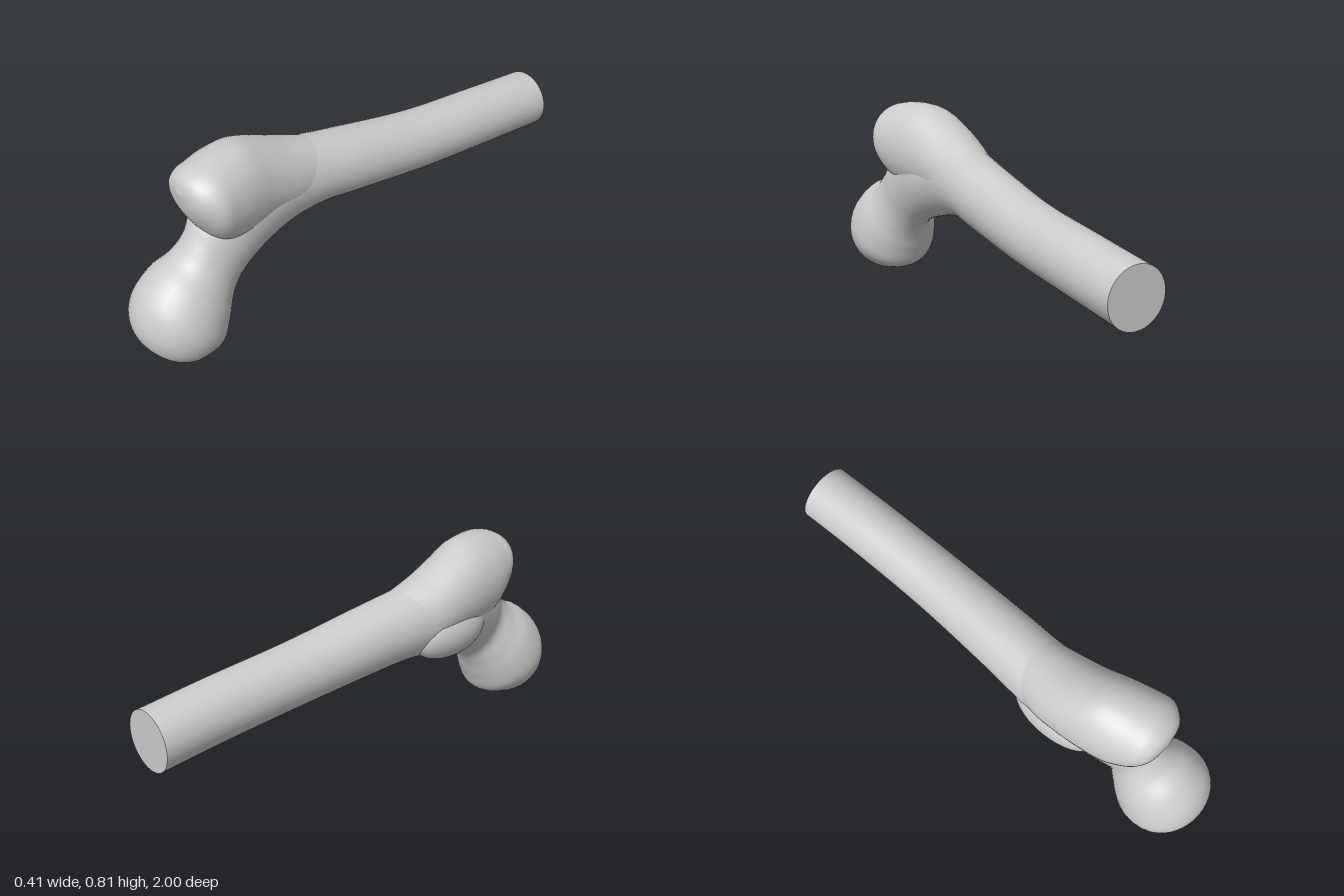
import * as THREE from 'three';

const material = new THREE.MeshStandardMaterial({ color: 0xcccccc, roughness: 0.8 });
const SIDES = 40;

// Smooth loft through elliptical sections: [topZ, topY, bottomZ, bottomY, minX, maxX]
function loft(sections, steps) {
  const spline = (pick) => new THREE.CatmullRomCurve3(
    sections.map((s) => new THREE.Vector3(...pick(s))), false, 'catmullrom', 0.5);
  const tops = spline((s) => [0, s[1], s[0]]);
  const bottoms = spline((s) => [0, s[3], s[2]]);
  const widths = spline((s) => [s[4], s[5], 0]);
  const positions = [], index = [];
  for (let i = 0; i <= steps; i++) {
    const t = i / steps;
    const top = tops.getPoint(t), bottom = bottoms.getPoint(t), w = widths.getPoint(t);
    const centre = top.clone().add(bottom).multiplyScalar(0.5);
    const up = top.clone().sub(bottom).multiplyScalar(0.5);
    for (let j = 0; j < SIDES; j++) {
      const a = (j / SIDES) * Math.PI * 2;
      const p = centre.clone().addScaledVector(up, Math.sin(a));
      positions.push((w.x + w.y) / 2 + Math.cos(a) * (w.y - w.x) / 2, p.y, p.z);
      if (i === steps) continue;
      const k = (j + 1) % SIDES, r = i * SIDES, n = r + SIDES;
      index.push(r + j, r + k, n + j, r + k, n + k, n + j);
    }
  }
  const geometry = new THREE.BufferGeometry();
  geometry.setAttribute('position', new THREE.Float32BufferAttribute(positions, 3));
  geometry.setIndex(index);
  geometry.computeVertexNormals();
  return geometry;
}

export function createModel() {
  const model = new THREE.Group();
  model.name = 'thighBone';
  const add = (name, geometry) => {
    const mesh = new THREE.Mesh(geometry, material);
    mesh.name = name;
    model.add(mesh);
    return mesh;
  };

  // Shaft bending forward and down through the neck into the ball head
  add('shaftNeckAndHead', loft([
    [-1.0, 0.56, -1.0, 0.32, -0.11, 0.13],
    [-0.7, 0.583, -0.7, 0.338, -0.11, 0.13],
    [-0.35, 0.607, -0.35, 0.357, -0.12, 0.125],
    [0.0, 0.655, 0.0, 0.382, -0.15, 0.11],
    [0.17, 0.68, 0.15, 0.39, -0.168, 0.1],
    [0.34, 0.71, 0.29, 0.37, -0.18, 0.1],
    [0.55, 0.69, 0.41, 0.337, -0.17, 0.115],
    [0.69, 0.58, 0.51, 0.295, -0.135, 0.122],
    [0.745, 0.5, 0.57, 0.245, -0.112, 0.126],
    [0.8, 0.435, 0.605, 0.19, -0.135, 0.147],
    [0.88, 0.395, 0.632, 0.12, -0.165, 0.182],
    [0.95, 0.335, 0.668, 0.045, -0.18, 0.203],
    [0.985, 0.275, 0.735, 0.013, -0.172, 0.195],
    [1.0, 0.21, 0.8, 0.0, -0.14, 0.163],
    [0.99, 0.14, 0.87, 0.019, -0.08, 0.105],
    [0.945, 0.065, 0.945, 0.065, 0.012, 0.012],
  ], 120));

  // Large knob rising above the neck
  add('upperKnob', loft([
    [0.0, 0.62, 0.0, 0.45, -0.11, 0.07],
    [0.15, 0.674, 0.15, 0.43, -0.15, 0.085],
    [0.28, 0.717, 0.28, 0.42, -0.185, 0.1],
    [0.4, 0.768, 0.4, 0.42, -0.192, 0.113],
    [0.5, 0.802, 0.5, 0.42, -0.188, 0.135],
    [0.6, 0.803, 0.6, 0.44, -0.175, 0.157],
    [0.67, 0.792, 0.67, 0.49, -0.152, 0.165],
    [0.72, 0.777, 0.72, 0.555, -0.125, 0.135],
    [0.755, 0.75, 0.755, 0.625, -0.08, 0.085],
    [0.77, 0.705, 0.77, 0.705, 0, 0],
  ], 80));

  // Small side swelling below the knob
  const swelling = add('sideSwelling', new THREE.SphereGeometry(1, 32, 20));
  swelling.scale.set(0.085, 0.105, 0.19);
  swelling.position.set(-0.12, 0.475, 0.35);

  // Flat cut at the back end of the shaft
  const cut = add('cutEnd', new THREE.CircleGeometry(1, SIDES));
  cut.rotation.y = Math.PI;
  cut.scale.set(0.12, 0.12, 1);
  cut.position.set(0.01, 0.44, -1);

  return model;
}
